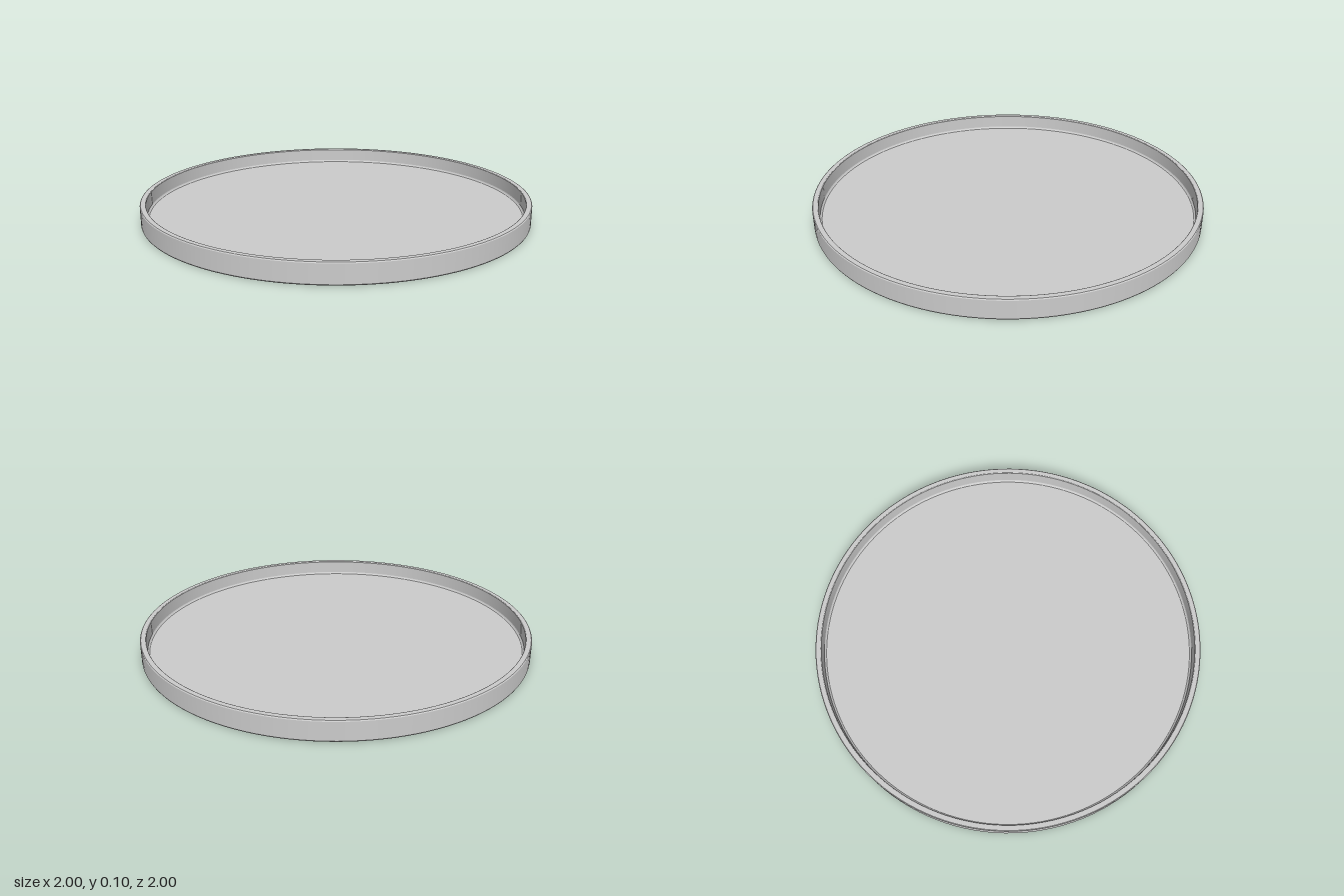
import * as THREE from 'three';
import { mergeGeometries } from 'three/addons/utils/BufferGeometryUtils.js';

const SEGMENTS = 128;

// Each profile section is smooth in itself; edges between sections stay sharp
function latheSections(sections) {
  return mergeGeometries(sections.map((points) =>
    new THREE.LatheGeometry(points.map(([r, y]) => new THREE.Vector2(r, y)), SEGMENTS)));
}

export function createModel() {
  const group = new THREE.Group();
  group.name = 'roundTray';
  const material = new THREE.MeshStandardMaterial({ color: 0xcccccc });

  const add = (name, sections) => {
    const mesh = new THREE.Mesh(latheSections(sections), material);
    mesh.name = name;
    group.add(mesh);
  };

  // Flat underside and recessed floor
  add('base', [
    [[0, 0], [0.994, 0]],
    [[0.96, 0.022], [0, 0.022]],
  ]);

  // Upright wall with small softened edges and a fillet where it meets the floor
  add('rim', [
    [[0.994, 0], [0.998, 0.002], [1, 0.006]],
    [[1, 0.006], [1, 0.097]],
    [[1, 0.097], [0.999, 0.1], [0.996, 0.102]],
    [[0.996, 0.102], [0.973, 0.102]],
    [[0.973, 0.102], [0.971, 0.101], [0.97, 0.099]],
    [[0.97, 0.099], [0.969, 0.032]],
    [[0.969, 0.032], [0.9665, 0.025], [0.96, 0.022]],
  ]);

  return group;
}
